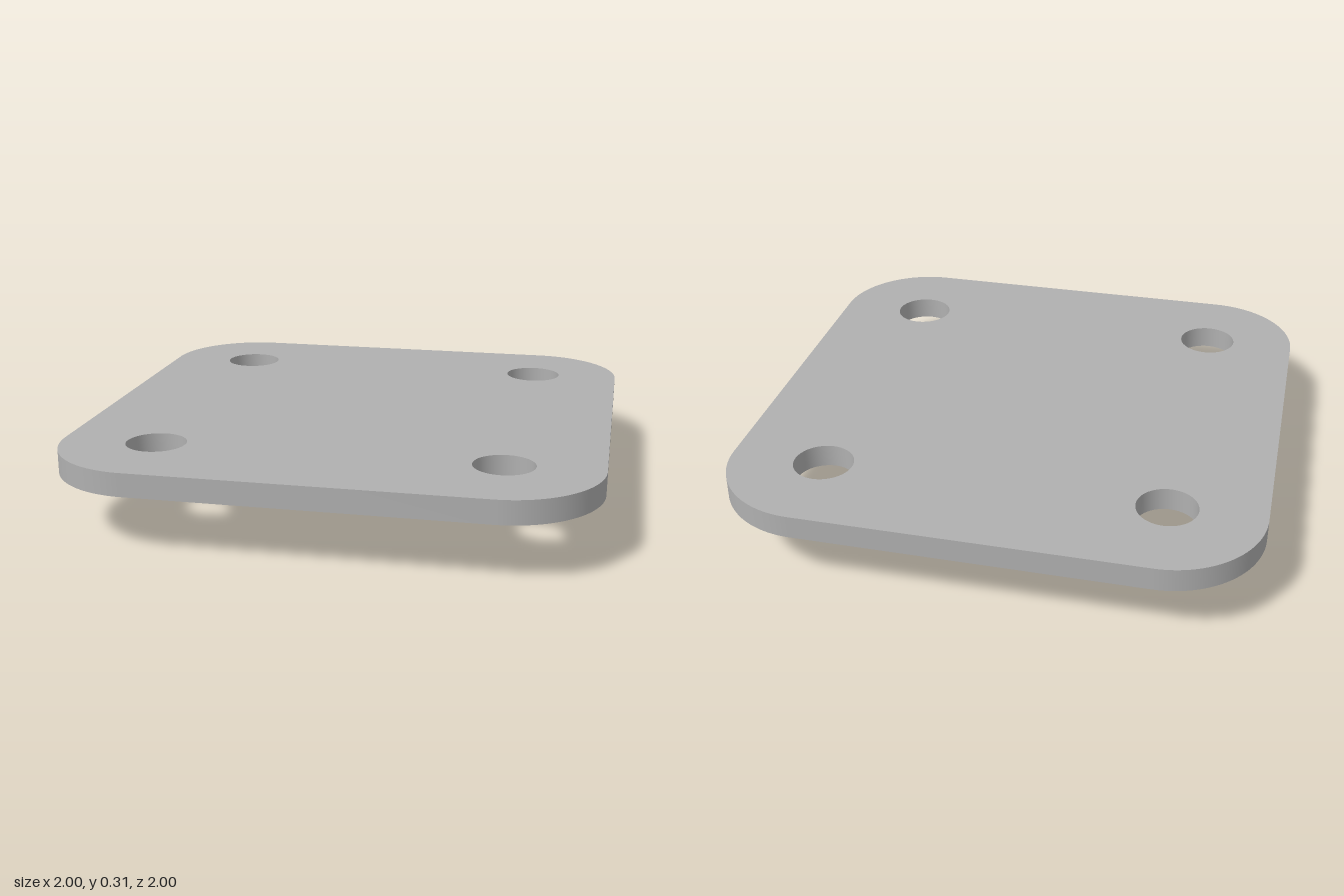
import * as THREE from 'three';
import { toCreasedNormals } from 'three/addons/utils/BufferGeometryUtils.js';

const HALF = 1, CORNER = 0.357, INSET = HALF - CORNER;
const HOLE_RADIUS = 0.113, TUBE_RADIUS = 0.179;
const PLATE_BOTTOM = 0.225, PLATE_TOP = 0.313;

export function createModel() {
  const model = new THREE.Group();
  model.name = 'mountingPlate';
  const grey = new THREE.MeshStandardMaterial({ color: 0xb0b0b0, side: THREE.DoubleSide });
  grey.name = 'grey';

  // Square plate outline: four corner arcs joined by straight edges
  const outline = new THREE.Shape();
  [[1, 1], [-1, 1], [-1, -1], [1, -1]].forEach(([sx, sy], i) => {
    outline.absarc(sx * INSET, sy * INSET, CORNER, i * Math.PI / 2, (i + 1) * Math.PI / 2, false);
    // Bolt hole concentric with each corner
    const hole = new THREE.Path();
    hole.absarc(sx * INSET, sy * INSET, HOLE_RADIUS, 0, Math.PI * 2, true);
    outline.holes.push(hole);
  });
  outline.closePath();

  const plateGeometry = new THREE.ExtrudeGeometry(outline, {
    depth: PLATE_TOP - PLATE_BOTTOM, bevelEnabled: false, curveSegments: 24,
  });
  plateGeometry.rotateX(-Math.PI / 2);
  plateGeometry.translate(0, PLATE_BOTTOM, 0);
  const plate = new THREE.Mesh(toCreasedNormals(plateGeometry, Math.PI / 5), grey);
  plate.name = 'plate';
  model.add(plate);

  // Thin stem tube, open at the bottom
  const stem = new THREE.Mesh(
    new THREE.CylinderGeometry(TUBE_RADIUS, TUBE_RADIUS, PLATE_BOTTOM, 64, 1, true), grey);
  stem.name = 'stem';
  stem.position.y = PLATE_BOTTOM / 2;
  model.add(stem);

  return model;
}
